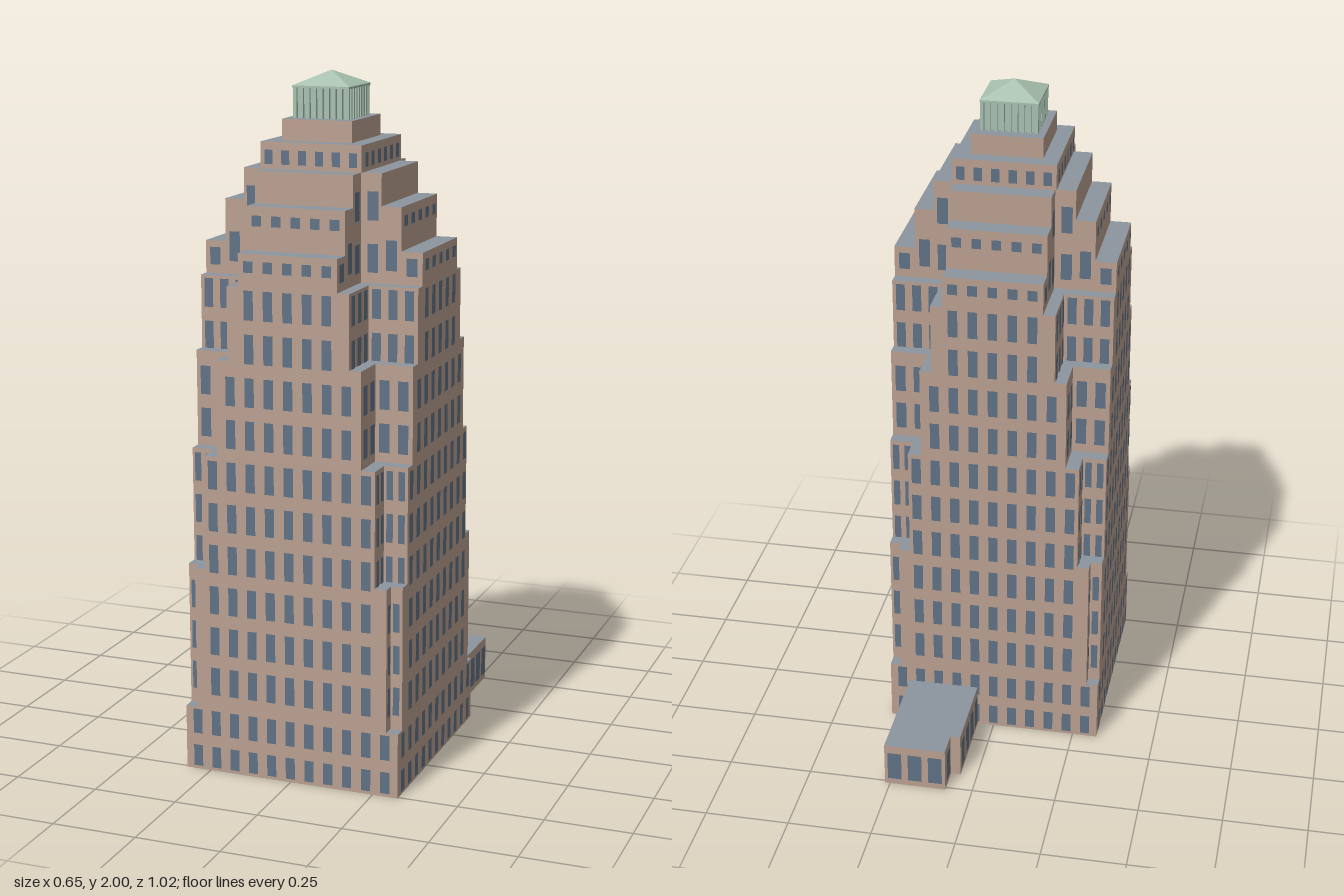
import * as THREE from 'three';
import { mergeGeometries } from 'three/addons/utils/BufferGeometryUtils.js';

const flat = (name, color) => {
  const m = new THREE.MeshStandardMaterial({ color });
  m.name = name;
  return m;
};

export function createModel() {
  const group = new THREE.Group();
  const wall = flat('tan stone', 0xbaa091);
  const roof = flat('slate roof', 0x8c969e);
  const glass = flat('blue glass', 0x607286);
  const green = flat('green copper', 0xa8c0b0);
  const wallTwoSided = flat('tan stone wing', 0xbaa091);
  const roofTwoSided = flat('slate wing roof', 0x8c969e);
  wallTwoSided.side = roofTwoSided.side = THREE.DoubleSide;

  const CZ = 0.171, HX = 0.325, HZ = 0.336;
  const tower = new THREE.Group();
  tower.name = 'tower';
  tower.position.z = CZ;
  group.add(tower);

  const add = (parent, name, geo, mat, x = 0, y = 0, z = 0) => {
    const mesh = new THREE.Mesh(geo, mat);
    mesh.name = name;
    mesh.position.set(x, y, z);
    parent.add(mesh);
    return mesh;
  };
  // Extruded floor plan standing upright: roof on caps, stone on sides
  const storey = (name, pts, y0, y1) => {
    const shape = new THREE.Shape(pts.map(p => new THREE.Vector2(...p)));
    const geo = new THREE.ExtrudeGeometry(shape, { depth: y1 - y0, bevelEnabled: false });
    add(tower, name, geo.rotateX(-Math.PI / 2), [roof, wall], 0, y0, 0);
  };
  const rect = (x, z) => [[-x, -z], [x, -z], [x, z], [-x, z]];
  const cross = (X, Z, w, d) => [[-w, -Z], [w, -Z], [w, -d], [X, -d], [X, d], [w, d],
    [w, Z], [-w, Z], [-w, d], [-X, d], [-X, -d], [-w, -d]];

  // Main shaft: corners notched deeper at each level [y0, y1, w, d]
  const tiers = [
    [0.004, 0.19, HX, HZ], [0.19, 0.61, 0.29, 0.301], [0.61, 0.943, 0.255, 0.263],
    [0.943, 1.22, 0.215, 0.225], [1.22, 1.43, 0.18, 0.187], [1.43, 1.523, 0.145, 0.151],
  ];
  tiers.forEach(([y0, y1, w, d], i) =>
    storey('shaft', i ? cross(HX, HZ, w, d) : rect(w, d), y0, y1));
  add(tower, 'base', new THREE.BoxGeometry(2 * HX, 0.004, 2 * HZ), wall, 0, 0.002, 0);

  // Stepped crown
  const steps = [[1.523, 1.645, 0.263, 0.274], [1.645, 1.735, 0.205, 0.214]];
  for (const [y0, y1, X, Z] of steps) storey('setback', cross(X, Z, 0.145, 0.151), y0, y1);
  storey('upperBlock', rect(0.15, 0.16), 1.735, 1.81);
  storey('topBlock', rect(0.104, 0.115), 1.81, 1.87);

  // Copper lantern with ribs and pyramid roof
  add(tower, 'lanternCore', new THREE.BoxGeometry(0.144, 0.09, 0.144), green, 0, 1.915, 0);
  const ribs = [];
  for (let side = 0; side < 4; side++) {
    for (let i = 0; i < 9; i++) {
      ribs.push(new THREE.BoxGeometry(0.01, 0.09, 0.01)
        .translate(-0.078 + i * 0.0195, 1.915, 0.078).rotateY(side * Math.PI / 2));
    }
  }
  add(tower, 'lanternRibs', mergeGeometries(ribs), green);
  add(tower, 'lanternEave', new THREE.BoxGeometry(0.17, 0.006, 0.17), green, 0, 1.957, 0);
  const cap = new THREE.ConeGeometry(0.085 * Math.SQRT2, 0.04, 4, 1).rotateY(Math.PI / 4).toNonIndexed();
  cap.computeVertexNormals();
  add(tower, 'lanternRoof', cap, green, 0, 1.98, 0);

  // Window panes, set just off the wall
  const panes = [];
  const pane = (u, y, dist, w, h, angle) =>
    panes.push(new THREE.PlaneGeometry(w, h).translate(u, y, dist + 0.002).rotateY(angle));
  const rows = [[0.042, 0.064], [0.147, 0.074]];
  for (let i = 0; i < 10; i++) rows.push([0.275 + i * 0.1228, 0.083]);
  rows.push([1.487, 0.032]);

  for (let side = 0; side < 4; side++) {
    const angle = side * Math.PI / 2;
    const alongX = side % 2 === 0;
    const pitch = alongX ? 0.0575 : 0.0595;
    const half = t => (alongX ? t[2] : t[3]);
    const notch = t => (alongX ? t[3] : t[2]);
    const reach = alongX ? HX : HZ, dist = alongX ? HZ : HX;

    for (const [y, h] of rows) {
      const tier = tiers.find(t => y < t[1]);
      // Regular columns on the broad face
      for (let k = -5; k <= 5; k++) {
        if (Math.abs(k) * pitch + 0.013 < half(tier)) pane(k * pitch, y, dist, 0.028, h, angle);
      }
      // Windows on the recessed corner faces
      const span = reach - half(tier);
      if (span < 0.01 || y > 1.43) continue;
      const n = span < 0.05 ? 1 : span < 0.13 ? 2 : 3;
      for (let j = 0; j < n; j++) {
        const u = half(tier) + span * (j + 0.5) / n;
        for (const s of [-1, 1]) pane(s * u, y, notch(tier), span / n * 0.55, h, angle);
      }
    }
    // Crown windows
    const stepDist = alongX ? 0.274 : 0.263;
    for (let k = -2; k <= 2; k++) pane(k * pitch, 1.605, stepDist, 0.028, 0.03, angle);
    for (let k = 0; k < 6; k++) pane((k - 2.5) * 0.05, 1.768, alongX ? 0.16 : 0.15, 0.024, 0.04, angle);
    const inner = alongX ? 0.151 : 0.145;
    for (const s of [-1, 1]) {
      for (const [u, y, h] of [[0.295, 1.48, 0.05], [0.235, 1.51, 0.085], [0.18, 1.645, 0.08], [0.18, 1.5, 0.08]]) {
        pane(s * u * reach / HX, y, inner, 0.032, h, angle);
      }
    }
  }
  add(tower, 'towerWindows', mergeGeometries(panes), glass);

  // Low rear wing: walls and roof, open underneath
  const wing = new THREE.Group();
  wing.name = 'rearWing';
  group.add(wing);
  const H = 0.137, zt = -0.165;
  const plan = [[0.05, zt], [0.05, -0.43], [0.08, -0.43], [0.08, -0.51], [0.265, -0.51], [0.265, zt]];
  const wingPanes = [];
  for (let i = 0; i < plan.length - 1; i++) {
    const [ax, az] = plan[i], [bx, bz] = plan[i + 1];
    const len = Math.hypot(bx - ax, bz - az);
    // Outward normal of this wall
    const nx = (bz - az) / len, nz = -(bx - ax) / len;
    const angle = Math.atan2(nx, nz);
    const mx = (ax + bx) / 2, mz = (az + bz) / 2;
    add(wing, 'wingWall', new THREE.PlaneGeometry(len, H).rotateY(angle), wallTwoSided, mx, H / 2, mz);
    const n = Math.floor(len / 0.056);
    for (let j = 0; j < n; j++) {
      wingPanes.push(new THREE.PlaneGeometry(0.042, 0.092)
        .translate((j + 0.5 - n / 2) * len / n, 0.066, 0.002).rotateY(angle).translate(mx, 0, mz));
    }
  }
  add(wing, 'wingWindows', mergeGeometries(wingPanes), glass);
  const deck = new THREE.Shape(plan.map(([x, z]) => new THREE.Vector2(x, -z)));
  add(wing, 'wingRoof', new THREE.ShapeGeometry(deck).rotateX(-Math.PI / 2), roofTwoSided, 0, H, 0);

  return group;
}
